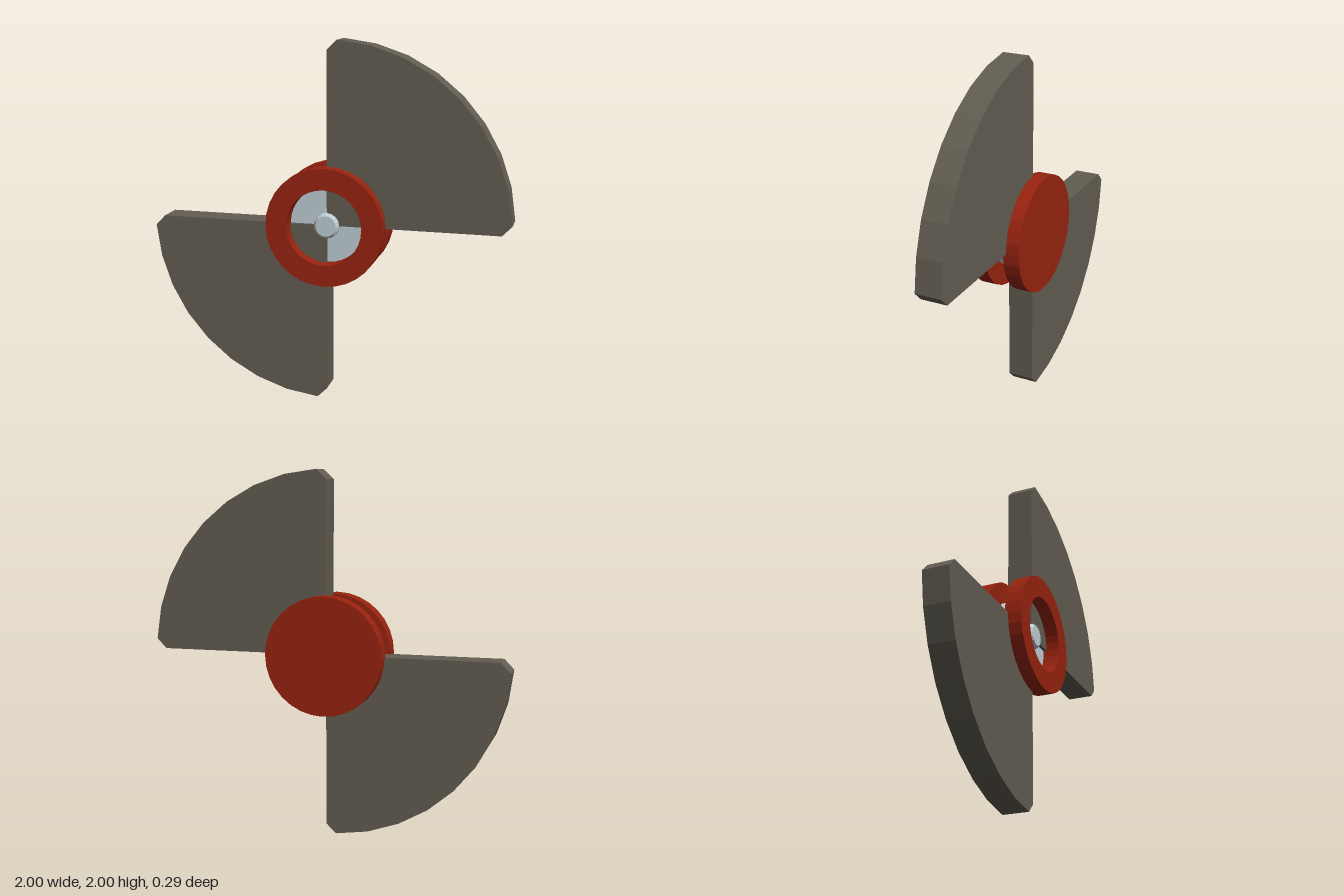
import * as THREE from 'three';

const SEGMENTS = 32;

export function createModel() {
  const model = new THREE.Group();
  const hub = new THREE.Group();
  hub.name = 'hub';
  hub.position.y = 1;
  model.add(hub);

  const material = (name, color) => {
    const m = new THREE.MeshStandardMaterial({ color, flatShading: true });
    m.name = name;
    return m;
  };
  const bladeGrey = material('blade grey', 0x625d52);
  const hubRed = material('hub red', 0x98230f);
  const steel = material('pale steel', 0xbfced5);

  const add = (name, geometry, mat) => {
    const mesh = new THREE.Mesh(geometry, mat);
    mesh.name = name;
    hub.add(mesh);
    return mesh;
  };
  const slab = (shape, z0, z1) =>
    new THREE.ExtrudeGeometry(shape, { depth: z1 - z0, bevelEnabled: false, curveSegments: SEGMENTS })
      .translate(0, 0, z0);
  const polygon = (radius) =>
    Array.from({ length: SEGMENTS }, (_, i) => {
      const a = (i / SEGMENTS) * Math.PI * 2;
      return new THREE.Vector2(radius * Math.cos(a), radius * Math.sin(a));
    });

  // Quarter-circle blades with clipped outer corners
  const clip = 0.055, steps = 8;
  const start = Math.asin(clip), sweep = Math.PI / 2 - 2 * start;
  const outline = [new THREE.Vector2(0, 0), new THREE.Vector2(1 - clip, 0)];
  for (let i = 0; i <= steps; i++) {
    const a = start + (sweep * i) / steps;
    outline.push(new THREE.Vector2(Math.cos(a), Math.sin(a)));
  }
  outline.push(new THREE.Vector2(0, 1 - clip));
  const bladeGeometry = slab(new THREE.Shape(outline), -0.073, 0.073);
  add('upperBlade', bladeGeometry, bladeGrey);
  add('lowerBlade', bladeGeometry, bladeGrey).rotation.z = Math.PI;

  // Front ring, open in the middle, and solid back plate
  const ring = new THREE.Shape(polygon(0.326));
  ring.holes.push(new THREE.Path(polygon(0.209).reverse()));
  add('frontRing', slab(ring, 0.055, 0.147), hubRed);
  add('backPlate', slab(new THREE.Shape(polygon(0.326)), -0.147, -0.055), hubRed);

  // Core drum between the two red discs
  add('coreDrum', slab(new THREE.Shape(polygon(0.209)), -0.055, 0.055), steel);

  // Centre bolt with a chamfered head
  const boltProfile = [[0, 0.04], [0.07, 0.04], [0.07, 0.085], [0.057, 0.1], [0, 0.1]]
    .map(([r, h]) => new THREE.Vector2(r, h));
  add('centreBolt', new THREE.LatheGeometry(boltProfile, 16).rotateX(Math.PI / 2), steel);

  return model;
}
